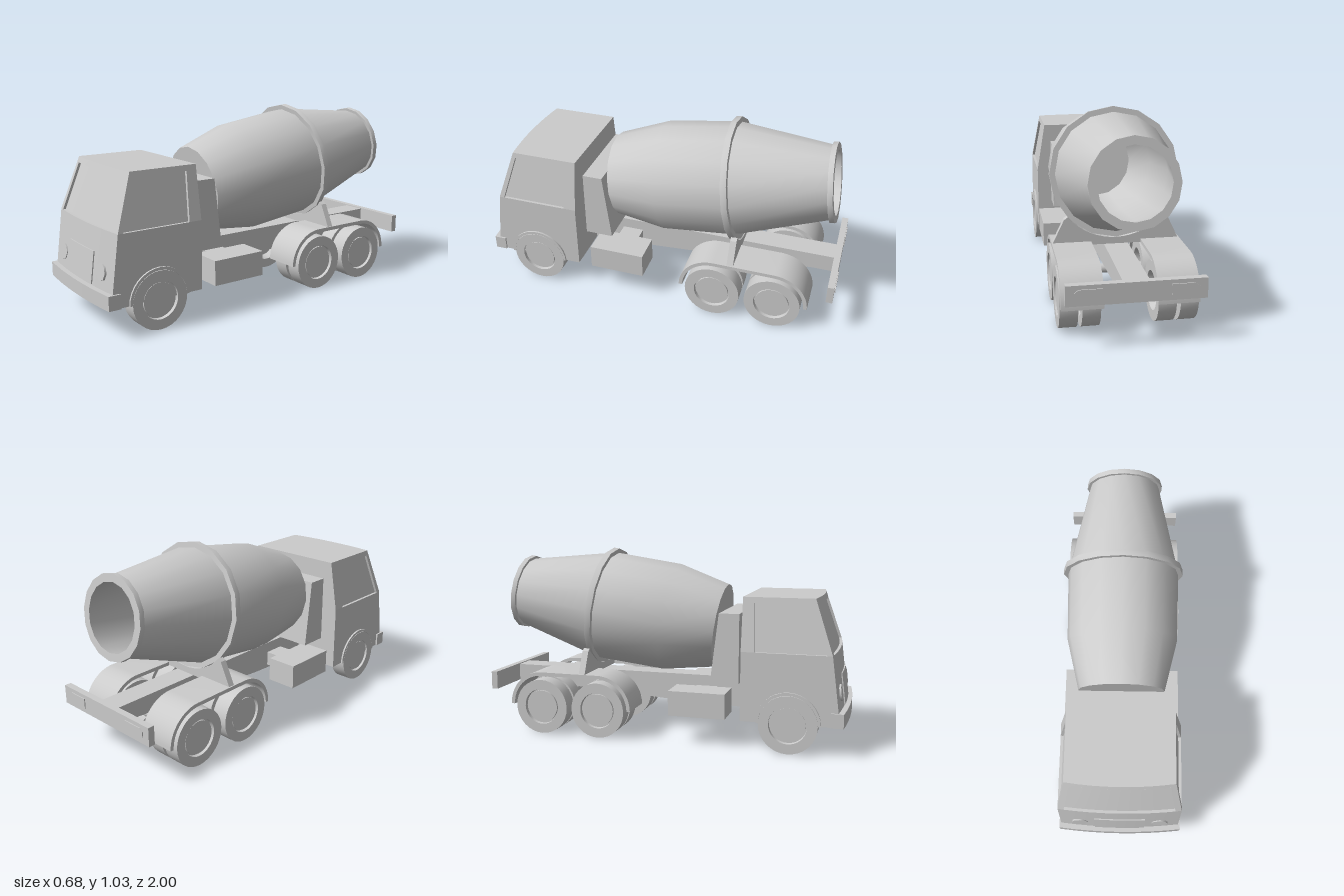
import * as THREE from 'three';
import { toCreasedNormals } from 'three/addons/utils/BufferGeometryUtils.js';

const grey = new THREE.MeshStandardMaterial({ color: 0xcccccc });
const greyDouble = new THREE.MeshStandardMaterial({ color: 0xcccccc, side: THREE.DoubleSide });
const lerp = THREE.MathUtils.lerp;

export function createModel() {
  const model = new THREE.Group();

  const add = (name, geometry, material = grey) => {
    const mesh = new THREE.Mesh(geometry, material);
    mesh.name = name;
    model.add(mesh);
    return mesh;
  };
  const box = (name, x0, x1, y0, y1, z0, z1) =>
    add(name, new THREE.BoxGeometry(x1 - x0, y1 - y0, z1 - z0)
      .translate((x0 + x1) / 2, (y0 + y1) / 2, (z0 + z1) / 2));
  const polygon = (points) => new THREE.Shape(points.map(([a, b]) => new THREE.Vector2(a, b)));
  const extrude = (shape, depth) =>
    new THREE.ExtrudeGeometry(shape, { depth, bevelEnabled: false, curveSegments: 8 });
  // Extrudes a (z, y) outline sideways from x0 to x1
  const sideExtrude = (name, shape, x0, x1) =>
    add(name, toCreasedNormals(extrude(shape, x1 - x0).rotateY(-Math.PI / 2).translate(x1, 0, 0), 0.5));
  // Lathe from [radius, height] pairs
  const lathe = (points, segments) => toCreasedNormals(
    new THREE.LatheGeometry(points.map(([r, h]) => new THREE.Vector2(r, h)), segments), 0.5);

  // Cab shell: patches sampled from surface rules f(a, y, depth)
  const waist = 0.52, roof = 0.8, floor = 0.155, windowTop = 0.77, back = 0.45;
  const halfWidth = (y) => (y < waist ? 0.33 : lerp(0.33, 0.283, (y - waist) / (roof - waist)));
  const noseZ = (y) => (y < waist ? 0.935 + (waist - y) * 0.13 : lerp(0.935, 0.84, (y - waist) / (roof - waist)));
  const bow = 0.02;
  const front = (u, y, d = 0) => [u * halfWidth(y), y, noseZ(y) - bow * u * u - d];
  const leftSide = (s, y, d = 0) => [halfWidth(y) - d, y, lerp(noseZ(y) - bow, back, s)];
  const rightSide = (s, y, d = 0) => {
    const [x, h, z] = leftSide(1 - s, y, d);
    return [-x, h, z];
  };
  const deck = (y) => (u, t) => {
    const [x, h, z] = front(u, y);
    return [x, h, lerp(z, back, t)];
  };

  const patch = (out, f, a0, a1, b0, b1, n = 8) => {
    for (let i = 0; i < n; i++) {
      const a = lerp(a0, a1, i / n), c = lerp(a0, a1, (i + 1) / n);
      const p = f(a, b0), q = f(c, b0), r = f(c, b1), s = f(a, b1);
      out.push(...p, ...q, ...r, ...p, ...r, ...s);
    }
  };
  // Cap at depth d with walls joining it to the surface: a recess or a raised plate
  const step = (out, f, a0, a1, y0, y1, d) => {
    patch(out, (a, y) => f(a, y, d), a0, a1, y0, y1);
    for (const y of [y0, y1]) patch(out, (a, k) => f(a, y, k * d), a0, a1, 0, 1);
    for (const a of [a0, a1]) patch(out, (y, k) => f(a, y, k * d), y0, y1, 0, 1, 1);
  };
  const windowPanel = (out, f, lo, hi, a0, a1) => {
    patch(out, f, lo, hi, floor, waist);
    patch(out, f, lo, a0, waist, windowTop, 1);
    patch(out, f, a1, hi, waist, windowTop, 1);
    patch(out, f, lo, hi, windowTop, roof);
    step(out, f, a0, a1, waist, windowTop, 0.015);
  };
  const shell = (name, out) => {
    const g = new THREE.BufferGeometry();
    g.setAttribute('position', new THREE.Float32BufferAttribute(out, 3));
    g.computeVertexNormals();
    return add(name, toCreasedNormals(g, 0.15), greyDouble);
  };

  const cab = [];
  windowPanel(cab, front, -1, 1, -0.9, 0.9);
  windowPanel(cab, leftSide, 0, 1, 0.06, 0.85);
  windowPanel(cab, rightSide, 0, 1, 0.15, 0.94);
  patch(cab, deck(roof), -1, 1, 0, 1);
  patch(cab, (u, t) => deck(floor)(-u, t), -1, 1, 0, 1);
  const rear = (u, y) => [-u * halfWidth(y), y, back];
  patch(cab, rear, -1, 1, floor, waist, 1);
  patch(cab, rear, -1, 1, waist, roof, 1);
  shell('cab', cab);

  const grille = [];
  step(grille, front, -0.42, 0.42, 0.235, 0.4, -0.006);
  shell('grille', grille);

  // Bowed front bumper, drawn in plan as (x, -z)
  const plan = [[0.34, -0.915]];
  for (let i = 0; i <= 8; i++) {
    const u = 1 - i / 4;
    plan.push([u * 0.34, -(1 - bow * u * u)]);
  }
  plan.push([-0.34, -0.915]);
  add('frontBumper', extrude(polygon(plan), 0.075).rotateX(-Math.PI / 2).translate(0, floor, 0));

  // Chassis spine, drum pedestal and rear crossbar
  sideExtrude('chassisBeam', polygon([[0.46, 0.16], [0.46, 0.33], [-0.97, 0.33], [-0.97, 0.235],
    [-0.85, 0.235], [-0.16, 0.19], [0.06, 0.175]]), -0.063, 0.063);
  sideExtrude('drumPedestal', polygon([[0.425, 0.33], [0.425, 0.705], [0.315, 0.705], [0.27, 0.33]]), -0.25, 0.25);
  box('rearCrossbar', -0.33, 0.33, 0.235, 0.335, -0.995, -0.96);

  // Mixer drum, hollow and open at the rear
  const drum = new THREE.Group();
  drum.name = 'mixerDrum';
  drum.position.set(0, 0.605, 0.283);
  drum.rotation.x = -1.434;
  const drumPart = (name, points) => {
    const mesh = new THREE.Mesh(lathe(points, 16), grey);
    mesh.name = name;
    drum.add(mesh);
  };
  drumPart('drumShell', [[0, 0], [0.237, 0], [0.305, 0.285], [0.312, 0.68], [0.2, 1.185], [0.216, 1.185],
    [0.216, 1.212], [0.175, 1.212], [0.285, 0.68], [0.28, 0.285], [0.21, 0.03], [0, 0.03]]);
  drumPart('drumRing', [[0.29, 0.665], [0.337, 0.665], [0.337, 0.698], [0.29, 0.698]]);
  model.add(drum);

  // Saddle carrying the drum ring
  const saddle = polygon([[-0.25, 0.33], [-0.33, 0.345], [-0.27, 0.47]]);
  saddle.absarc(0, 0.69, 0.325, Math.PI * 1.22, Math.PI * 1.78, false);
  saddle.lineTo(0.27, 0.47);
  saddle.lineTo(0.33, 0.345);
  saddle.lineTo(0.25, 0.33);
  add('drumSaddle', extrude(saddle, 0.035).translate(0, 0, -0.455));

  const axleY = 0.153, frontAxle = 0.7, rearAxles = [-0.345, -0.68];
  const wheel = lathe([[0, 0.045], [0.085, 0.045], [0.1, 0], [0.153, 0], [0.153, 0.09], [0.1, 0.09],
    [0.098, 0.07], [0.09, 0.07], [0.09, 0.082], [0, 0.082]], 32);
  const addWheel = (name, side, x, z) => {
    const mesh = add(name, wheel);
    mesh.rotation.z = -side * Math.PI / 2;
    mesh.position.set(side * x, axleY, z);
  };
  for (const z of [frontAxle, ...rearAxles]) {
    add('axle', new THREE.CylinderGeometry(0.025, 0.025, 0.56, 12)
      .rotateZ(Math.PI / 2).translate(0, axleY, z));
  }

  // Arch outlines in (z, y)
  const fender = new THREE.Shape();
  fender.absarc(rearAxles[0], 0.158, 0.19, 0, Math.PI / 2, false);
  fender.absarc(rearAxles[1], 0.158, 0.19, Math.PI / 2, Math.PI, false);
  fender.absarc(rearAxles[1], 0.158, 0.17, Math.PI, Math.PI / 2, true);
  fender.absarc(rearAxles[0], 0.158, 0.17, Math.PI / 2, 0, true);
  const flare = new THREE.Shape();
  flare.absarc(frontAxle, 0.155, 0.168, 0, Math.PI, false);
  flare.absarc(frontAxle, 0.155, 0.153, Math.PI, 0, true);

  // Paired parts on both sides
  for (const side of [1, -1]) {
    const span = (a, b) => (side > 0 ? [a, b] : [-b, -a]);
    addWheel('frontWheel', side, 0.25, frontAxle);
    for (const z of rearAxles) {
      addWheel('rearOuterWheel', side, 0.25, z);
      addWheel('rearInnerWheel', side, 0.14, z);
    }
    sideExtrude('rearFender', fender, ...span(0.13, 0.335));
    sideExtrude('frontWheelArch', flare, ...span(0.3, 0.34));
    box('sideTank', ...span(0.16, 0.333), 0.155, 0.29, 0.06, 0.37);
    box('tankBracket', ...span(0.05, 0.17), 0.19, 0.27, 0.15, 0.27);
    const lightZ = noseZ(0.315) - bow * 0.44;
    add('headlight', new THREE.CylinderGeometry(0.045, 0.045, 0.02, 8)
      .rotateX(Math.PI / 2 - 0.13).translate(side * 0.22, 0.315, lightZ - 0.003));
    const lamp = polygon([[0.16, 0.26], [0.27, 0.26], [0.29, 0.275], [0.29, 0.3], [0.27, 0.315], [0.16, 0.315]]
      .map(([x, y]) => [side * x, y]));
    add('tailLight', extrude(lamp, 0.01).translate(0, 0, -1));
  }
  return model;
}
